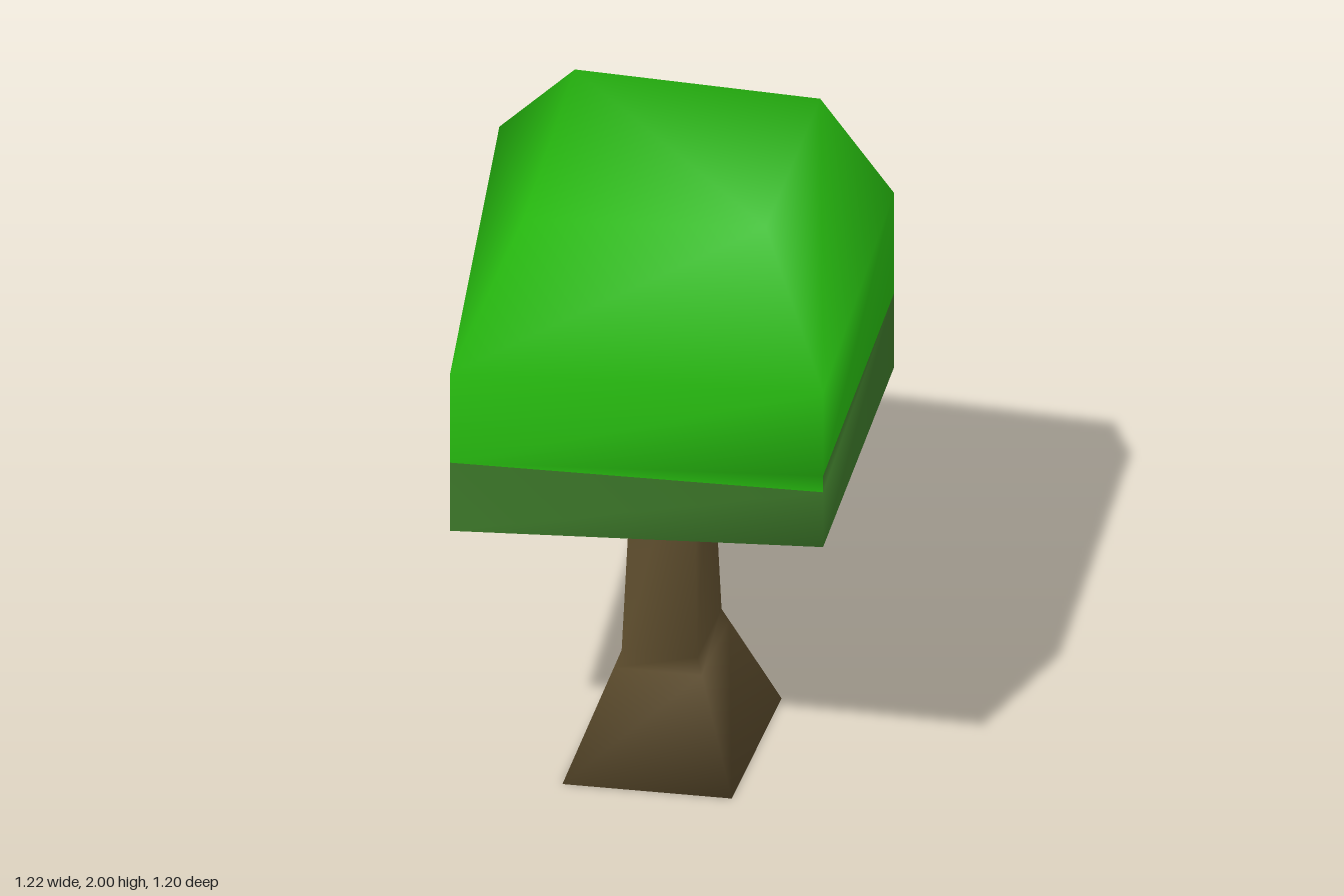
import * as THREE from 'three';
import { mergeVertices } from 'three/addons/utils/BufferGeometryUtils.js';

const material = (name, color) => {
  const m = new THREE.MeshStandardMaterial({ color, side: THREE.DoubleSide });
  m.name = name;
  return m;
};

// Collects triangles per material, then welds them into one smooth mesh
function surface(name, materials) {
  const lists = materials.map(() => []);
  const tri = (m, a, b, c) => lists[m].push(...a, ...b, ...c);
  return {
    tri,
    quad(m, a, b, c, d) { tri(m, a, b, c); tri(m, a, c, d); },
    mesh() {
      const soup = new THREE.BufferGeometry();
      soup.setAttribute('position', new THREE.Float32BufferAttribute(lists.flat(), 3));
      const g = mergeVertices(soup);
      let start = 0;
      g.clearGroups();
      lists.forEach((l, i) => { g.addGroup(start, l.length / 3, i); start += l.length / 3; });
      g.computeVertexNormals();
      const mesh = new THREE.Mesh(g, materials);
      mesh.name = name;
      return mesh;
    },
  };
}

// Corner order everywhere: front left of screen, front right, back right, back left
function createCrown(leaf, leafEdge) {
  const s = surface('crown', [leaf, leafEdge]);
  const plan = [[-0.5, 0.53], [0.61, 0.6], [0.57, -0.5], [-0.61, -0.6]];
  const ring = (ys) => plan.map(([x, z], i) => [x, ys[i], z]);
  const bottom = ring([0.95, 1.09, 1.02, 1.09]);
  const low = ring([1.18, 1.275, 1.27, 1.185]);
  const high = ring([1.18, 1.33, 1.27, 1.285]);
  const shoulder = ring([1.48, 1.61, 1.61, 1.61]);
  const top = [[-0.32, 1.93, 0.37], [0.39, 2, 0.37], [0.39, 2, -0.34], [-0.33, 2, -0.34]];

  for (let i = 0; i < 4; i++) {
    const j = (i + 1) % 4;
    s.quad(1, bottom[i], bottom[j], low[j], low[i]);      // dark hem
    s.quad(0, high[i], high[j], shoulder[j], shoulder[i]); // upright wall
    s.quad(0, shoulder[i], shoulder[j], top[j], top[i]);   // sloping shoulder
  }
  // Uneven upper border of the hem
  s.tri(0, low[0], low[1], high[1]);
  s.tri(1, low[1], low[2], high[1]);
  s.tri(1, low[2], low[3], high[3]);
  const peak = high[3].map((v, k) => (v + high[0][k]) / 2);
  s.tri(1, low[3], low[0], peak);
  s.tri(0, low[3], peak, high[3]);
  // Lid, folded towards its lower corner
  s.tri(0, top[0], top[1], top[3]);
  s.tri(0, top[1], top[2], top[3]);
  return s.mesh();
}

function createTrunk(bark, stone) {
  const s = surface('trunk', [bark, stone]);
  const base = [[-0.22, 0, 0.31], [0.27, 0, 0.28], [0.29, 0, -0.28], [-0.2, 0, -0.27]];
  const neck = [[-0.08, 0.38, 0.16], [0.14, 0.38, 0.15], [0.15, 0.38, -0.12], [-0.08, 0.38, -0.12]];
  const tip = [[-0.05, 1.2, 0.115], [0.12, 1.2, 0.115], [0.12, 1.2, -0.085], [-0.05, 1.2, -0.085]];
  const flare = base.map((p, i) => p.map((v, k) => v + (neck[i][k] - v) * 0.87));
  const rings = [base, flare, neck, tip];
  for (let r = 0; r < 3; r++) {
    for (let i = 0; i < 4; i++) {
      const j = (i + 1) % 4;
      // The rear of the flared foot carries a pale patch
      s.quad(r === 0 && i === 2 ? 1 : 0, rings[r][i], rings[r][j], rings[r + 1][j], rings[r + 1][i]);
    }
  }
  s.quad(0, base[3], base[2], base[1], base[0]);
  s.quad(0, ...tip);
  return s.mesh();
}

export function createModel() {
  const group = new THREE.Group();
  group.name = 'tree';
  group.add(
    createCrown(material('leaf green', 0x26b80f), material('dark leaf green', 0x3c7729)),
    createTrunk(material('bark brown', 0x5f4e2e), material('pale bark grey', 0x736c60)),
  );
  return group;
}
